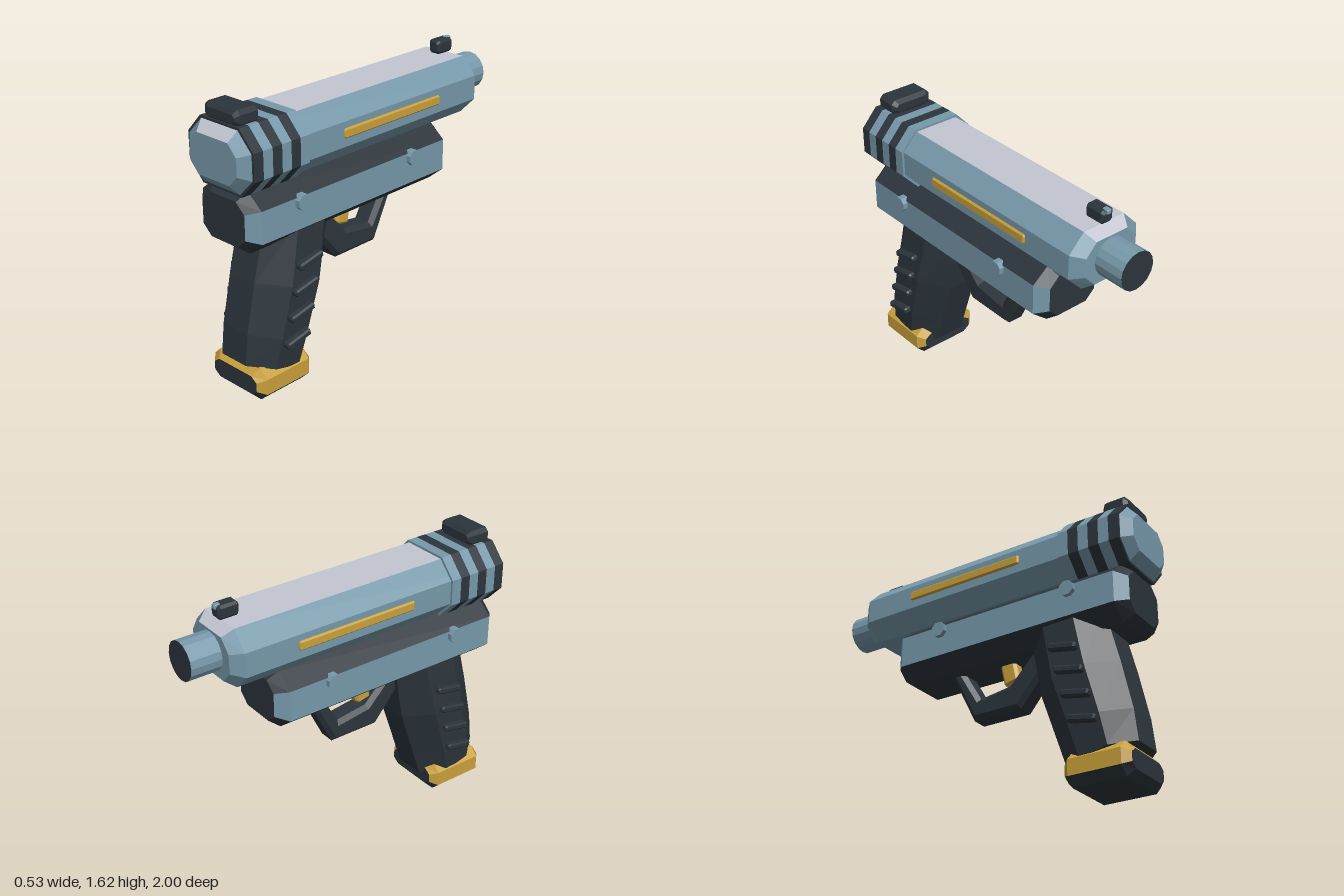
import * as THREE from 'three';

const material = (name, color) => {
  const m = new THREE.MeshStandardMaterial({ color });
  m.name = name;
  return m;
};

// Octagon outline, counter-clockwise: half size w x h, flat half lengths fw (top) and fh (side)
const octagon = (w, h, fw, fh) => [
  [w, -fh], [w, fh], [fw, h], [-fw, h], [-w, fh], [-w, -fh], [-fw, -h], [fw, -h],
];

// Skin a run of octagon rings. paint lists a material for each of the 8 sides, then start cap and end cap.
function loft(name, rings, paint) {
  const mats = [...new Set(paint)];
  const buckets = mats.map(() => []);
  const tri = (k, ...pts) => pts.forEach((p) => buckets[mats.indexOf(paint[k])].push(p.x, p.y, p.z));
  const last = rings[rings.length - 1];
  for (let j = 0; j < 8; j++) {
    const n = (j + 1) % 8;
    for (let i = 0; i < rings.length - 1; i++) {
      const [a, b, c, d] = [rings[i][j], rings[i][n], rings[i + 1][n], rings[i + 1][j]];
      tri(j, a, b, c);
      tri(j, a, c, d);
    }
    if (j > 0 && j < 7) {
      tri(8, rings[0][0], rings[0][n], rings[0][j]);
      tri(9, last[0], last[j], last[n]);
    }
  }
  const geo = new THREE.BufferGeometry();
  geo.setAttribute('position', new THREE.Float32BufferAttribute(buckets.flat(), 3));
  let start = 0;
  buckets.forEach((b, k) => {
    geo.addGroup(start, b.length / 3, k);
    start += b.length / 3;
  });
  geo.computeVertexNormals();
  const mesh = new THREE.Mesh(geo, mats);
  mesh.name = name;
  return mesh;
}

// Octagonal bar along z with bevelled ends; each section is [z, w, h, fw, fh]
const bar = (name, y, sections, paint) => loft(name, sections.map(([z, ...size]) =>
  octagon(...size).map(([u, v]) => new THREE.Vector3(u, y + v, z))), paint);

// Small chamfered block centred on its own origin
function block(name, w, h, d, c, mat) {
  const full = [w, h, w - c, h - c];
  const end = [w - c, h - c, w - 1.7 * c, h - 1.7 * c];
  return bar(name, 0, [[-d, ...end], [-d + c, ...full], [d - c, ...full], [d, ...end]], Array(10).fill(mat));
}

function flat(geo) {
  const g = geo.index ? geo.toNonIndexed() : geo;
  g.computeVertexNormals();
  return g;
}

export function createModel() {
  const model = new THREE.Group();
  model.name = 'toyBlaster';
  const blue = material('steel blue', 0x7799ab);
  const pale = material('pale grey', 0xc3c5d2);
  const dark = material('charcoal', 0x2c353c);
  const gold = material('gold', 0xc9a03c);
  const add = (mesh, x = 0, y = 0, z = 0) => {
    mesh.position.set(x, y, z);
    model.add(mesh);
    return mesh;
  };
  const all = (m) => Array(10).fill(m);

  // Slide with a pale top
  const slidePaint = all(blue);
  slidePaint[2] = pale;
  add(bar('slide', 1.3675, [
    [-0.82, 0.17, 0.125, 0.105, 0.055], [-0.76, 0.23, 0.1675, 0.135, 0.07],
    [0.95, 0.23, 0.1675, 0.135, 0.07], [1, 0.175, 0.112, 0.115, 0.05],
  ], slidePaint));

  // Alternating rear bands
  const step = 0.0625;
  for (let i = 0; i < 6; i++) {
    const z = 0.574 + i * step;
    const size = [0.243, 0.18, 0.145, 0.075];
    add(bar('rearBand', 1.3675, [[z, ...size], [z + step, ...size]], all(i % 2 ? dark : blue)));
  }

  // Barrel with dark muzzle disc
  const barrel = new THREE.Mesh(flat(new THREE.CylinderGeometry(0.11, 0.11, 0.2, 16)), blue);
  barrel.name = 'barrel';
  barrel.rotation.x = Math.PI / 2;
  add(barrel, 0, 1.372, -0.898);
  const muzzle = new THREE.Mesh(new THREE.CircleGeometry(0.11, 16), dark);
  muzzle.name = 'muzzle';
  muzzle.rotation.y = Math.PI;
  add(muzzle, 0, 1.372, -1);

  // Sights
  add(block('rearSight', 0.13, 0.045, 0.077, 0.022, dark), 0, 1.58, 0.868);
  add(block('frontSight', 0.04, 0.04, 0.062, 0.014, dark), 0, 1.58, -0.724);
  add(block('sightBead', 0.016, 0.014, 0.02, 0.005, blue), 0, 1.61, -0.775);

  // Frame: blue sides between dark chamfers
  const framePaint = all(dark);
  framePaint[0] = framePaint[4] = blue;
  const frameFull = [0.223, 0.17, 0.125, 0.09];
  const frameEnd = [0.16, 0.125, 0.1, 0.07];
  add(bar('frame', 1.027, [
    [-0.56, ...frameEnd], [-0.5, ...frameFull], [0.89, ...frameFull], [0.95, ...frameEnd],
  ], framePaint));

  // Grip: tilted rings, each [back z, back y, front z, front y, half width]
  const gripRings = [
    [0.925, 0.2, 0.52, 0.1, 0.2], [0.905, 0.38, 0.465, 0.27, 0.22],
    [0.845, 0.66, 0.365, 0.57, 0.23], [0.76, 1.0, 0.31, 0.89, 0.205],
  ].map(([bz, by, fz, fy, w]) => octagon(w, 1, 0.095, 0.4).map(([u, v]) => {
    const t = (v + 1) / 2;
    return new THREE.Vector3(u, by + (fy - by) * t, bz + (fz - bz) * t);
  }));
  add(loft('grip', gripRings, all(dark)));

  // Grip base: gold sides and top, dark ends and underside
  const basePaint = [gold, gold, gold, gold, gold, dark, dark, dark, dark, dark];
  const baseFull = [0.208, 0.094, 0.157, 0.045];
  const baseEnd = [0.168, 0.054, 0.128, 0.026];
  add(bar('gripBase', 0.095, [
    [0.535, ...baseEnd], [0.575, ...baseFull], [0.88, ...baseFull], [0.92, ...baseEnd],
  ], basePaint));

  // Details mirrored on both sides
  for (const side of [1, -1]) {
    for (const [z, y] of [[0.585, 0.752], [0.62, 0.612], [0.653, 0.47], [0.685, 0.325]]) {
      add(block('gripRib', 0.024, 0.02, 0.085, 0.009, dark), side * 0.239, y, z).rotation.x = 0.2;
    }
    for (const z of [0.62, -0.225]) {
      const pin = new THREE.Mesh(flat(new THREE.CylinderGeometry(0.045, 0.045, 0.06, 8)), blue);
      pin.name = 'pin';
      pin.rotation.set(Math.PI / 8, 0, Math.PI / 2);
      add(pin, side * 0.22, 1.09, z);
    }
    add(block('sideStripe', 0.02, 0.028, 0.378, 0.008, gold), side * 0.222, 1.373, -0.063);
  }

  // Trigger guard: profile drawn as (-z, y), extruded across x
  const guardShape = new THREE.Shape([
    [-0.38, 0.78], [-0.2, 0.565], [0.107, 0.565], [0.25, 0.855], [0.25, 0.9],
    [0.165, 0.9], [0.165, 0.86], [0.065, 0.69], [-0.13, 0.718], [-0.27, 0.86], [-0.38, 0.95],
  ].map(([a, y]) => new THREE.Vector2(a, y)));
  const guardGeo = flat(new THREE.ExtrudeGeometry(guardShape, {
    depth: 0.09, bevelEnabled: true, bevelSegments: 1, bevelSize: 0.025, bevelThickness: 0.025, bevelOffset: -0.025,
  }));
  guardGeo.translate(0, 0, -0.045);
  const guard = new THREE.Mesh(guardGeo, dark);
  guard.name = 'triggerGuard';
  guard.rotation.y = Math.PI / 2;
  add(guard);

  // Trigger
  add(block('trigger', 0.04, 0.1, 0.05, 0.016, gold), 0, 0.835, 0.112).rotation.x = -0.2;

  return model;
}
